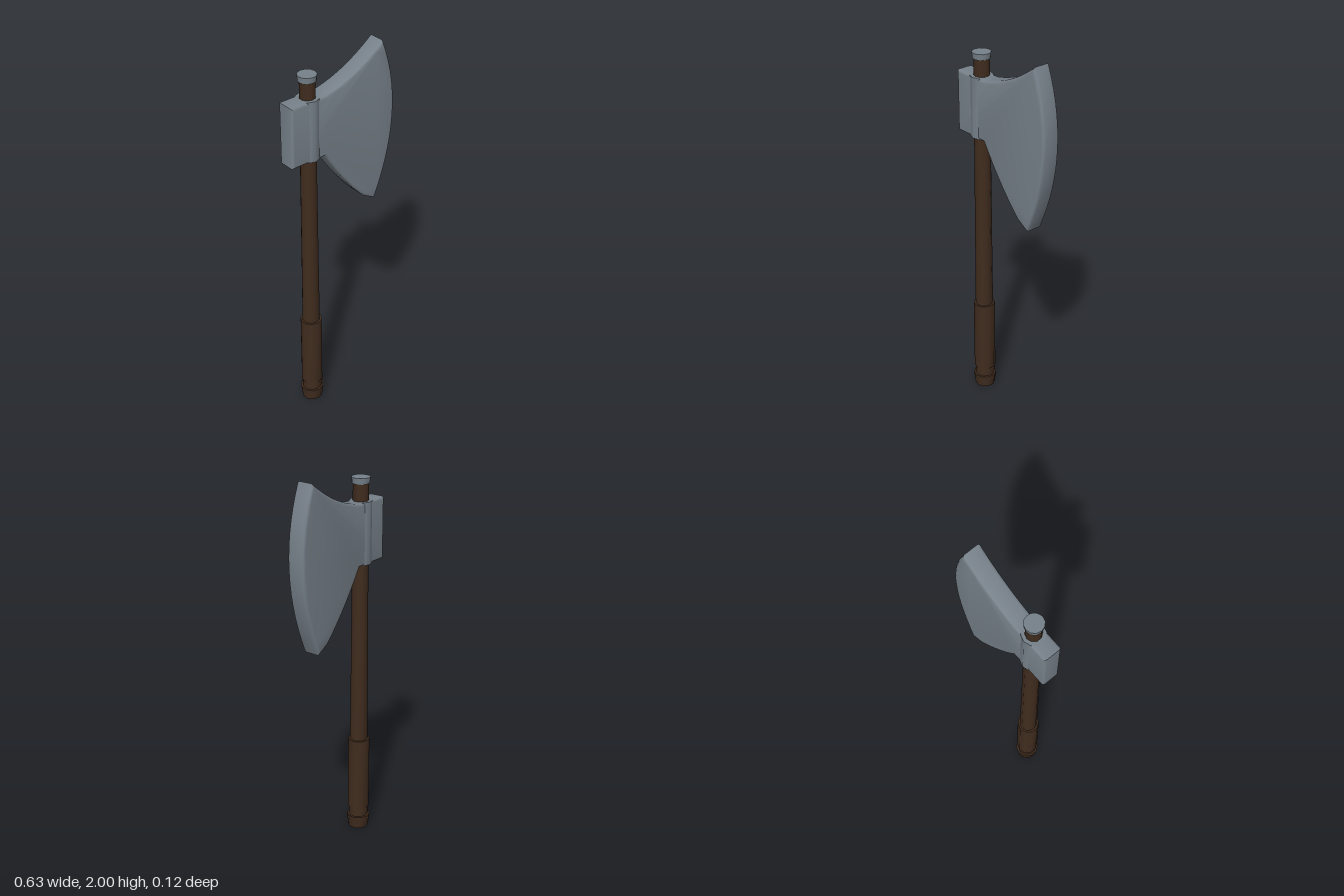
import * as THREE from 'three';
import { toCreasedNormals } from 'three/addons/utils/BufferGeometryUtils.js';

const steel = new THREE.MeshStandardMaterial({ color: 0x77818a });
const wood = new THREE.MeshStandardMaterial({ color: 0x402c1e });
const SHAFT_X = -0.185;

export function createModel() {
  const model = new THREE.Group();

  function add(name, geometry, material, x = 0, y = 0, z = 0) {
    const mesh = new THREE.Mesh(toCreasedNormals(geometry, 0.7), material);
    mesh.name = name;
    mesh.position.set(x, y, z);
    model.add(mesh);
  }

  // Round parts stacked along the shaft axis, from y0 to y1
  function round(name, material, y0, y1, r0, r1, sides) {
    add(name, new THREE.CylinderGeometry(r1, r0, y1 - y0, sides), material, SHAFT_X, (y0 + y1) / 2);
  }

  round('pommel', wood, 0, 0.07, 0.053, 0.062, 10);
  round('pommelNeck', wood, 0.07, 0.125, 0.051, 0.051, 10);
  round('grip', wood, 0.12, 0.53, 0.057, 0.057, 10);
  round('shaft', wood, 0.05, 1.93, 0.049, 0.039, 10);
  round('collar', steel, 1.51, 1.83, 0.058, 0.058, 10);
  round('topCap', steel, 1.917, 1.948, 0.045, 0.048, 12);

  // Head: square poll flaring into a curved blade, with rounded rims
  const outline = new THREE.Shape();
  outline.moveTo(-0.315, 1.51);
  outline.lineTo(-0.12, 1.51);
  outline.quadraticCurveTo(0.0, 1.31, 0.13, 1.18);
  outline.lineTo(0.2, 1.14);
  outline.quadraticCurveTo(0.405, 1.6, 0.235, 2.0);
  outline.quadraticCurveTo(0.06, 1.862, -0.12, 1.83);
  outline.lineTo(-0.315, 1.83);
  outline.closePath();
  const bevel = 0.014;
  const depth = 0.098 - 2 * bevel;
  const head = new THREE.ExtrudeGeometry(outline, {
    depth, curveSegments: 14, bevelEnabled: true, bevelSegments: 3,
    bevelSize: bevel, bevelThickness: bevel, bevelOffset: -bevel,
  });
  add('axeHead', head, steel, 0, 0, -depth / 2);

  return model;
}
